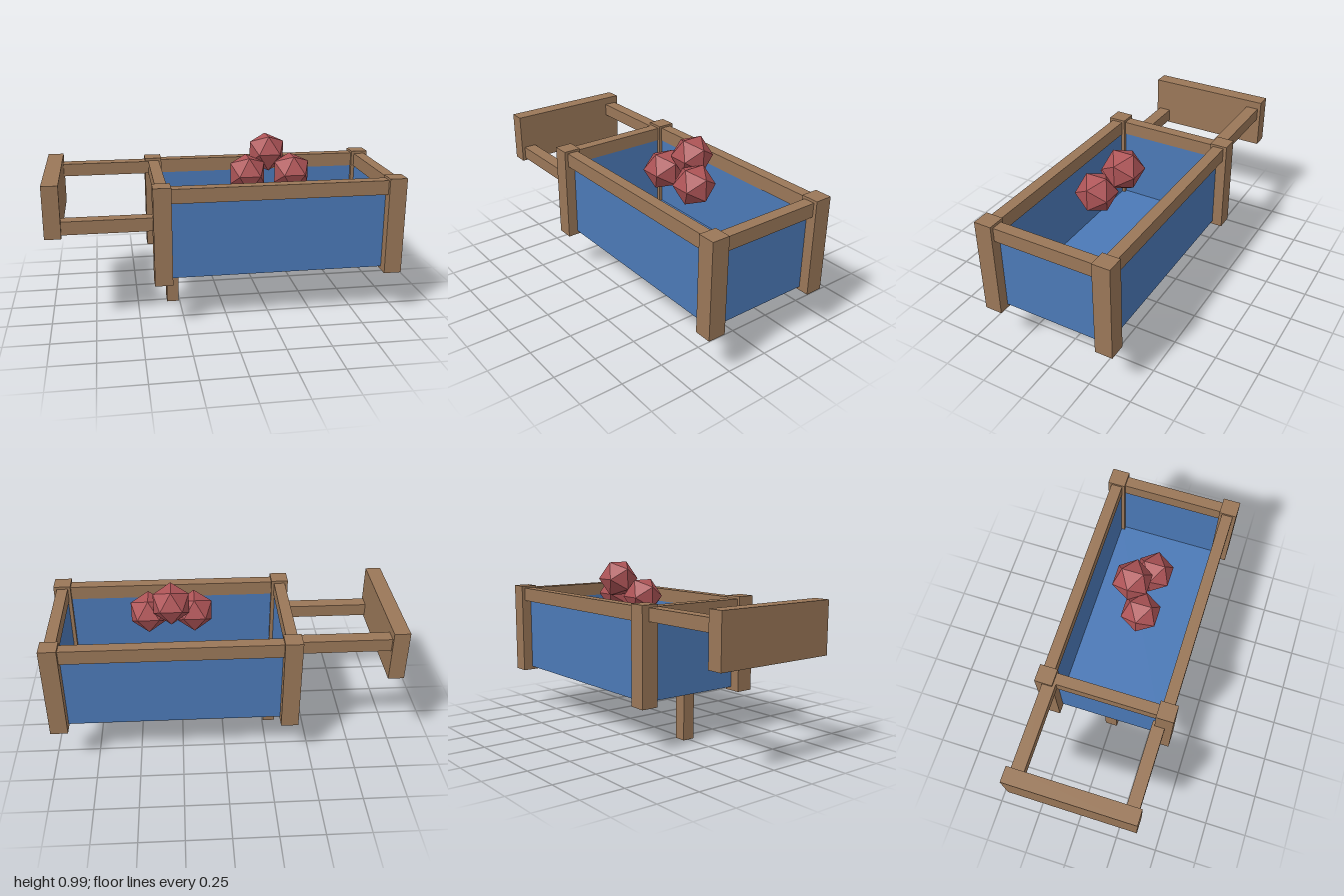
import * as THREE from 'three';

export function createModel() {
  const group = new THREE.Group();
  const mat = (name, color, extra = {}) => {
    const m = new THREE.MeshStandardMaterial({ color, ...extra });
    m.name = name;
    return m;
  };
  const wood = mat('wood brown', 0x9a7758);
  const blue = mat('panel blue', 0x4b79b7);
  const red = mat('load red', 0xae5457, { flatShading: true });

  // Box given by its min and max on each axis
  const box = (name, material, [x0, x1], [y0, y1], [z0, z1]) => {
    const mesh = new THREE.Mesh(new THREE.BoxGeometry(x1 - x0, y1 - y0, z1 - z0), material);
    mesh.position.set((x0 + x1) / 2, (y0 + y1) / 2, (z0 + z1) / 2);
    mesh.name = name;
    group.add(mesh);
  };
  const mirrored = (side, a, b) => (side > 0 ? [a, b] : [-b, -a]);

  // Corner posts, long rails and long panels on both sides
  for (const side of [1, -1]) {
    for (const x of [-0.418, 0.9]) {
      box('cornerPost', wood, [x, x + 0.1], [0.255, 0.815], mirrored(side, 0.296, 0.398));
    }
    box('sideRail', wood, [-0.37, 0.95], [0.72, 0.802], mirrored(side, 0.312, 0.378));
    box('sidePanel', blue, [-0.34, 0.92], [0.275, 0.75], mirrored(side, 0.317, 0.337));
  }

  // Short rails and panels at the two ends
  for (const side of [1, -1]) {
    const span = (a, b) => mirrored(side, a, b).map((x) => x + 0.291);
    box('endRail', wood, span(0.625, 0.69), [0.72, 0.8], [-0.31, 0.31]);
    box('endPanel', blue, span(0.63, 0.65), [0.276, 0.75], [-0.32, 0.32]);
  }

  // Tray floor and the single leg
  box('floor', blue, [-0.35, 0.93], [0.275, 0.295], [-0.33, 0.33]);
  box('leg', wood, [-0.326, -0.256], [0, 0.285], [-0.037, 0.037]);

  // Handle: one high arm at the back, one low arm at the front, and a wide end board
  box('handleArmHigh', wood, [-0.93, -0.39], [0.726, 0.8], [-0.355, -0.28]);
  box('handleArmLow', wood, [-0.93, -0.39], [0.565, 0.64], [0.28, 0.355]);
  box('handleBoard', wood, [-1, -0.91], [0.55, 0.845], [-0.374, 0.374]);

  // Faceted lumps stacked above the tray
  for (const p of [[0.16, 0.786, 0.034], [0.423, 0.786, 0.034], [0.291, 0.89, -0.056]]) {
    const lump = new THREE.Mesh(new THREE.IcosahedronGeometry(0.118, 0), red);
    lump.position.set(...p);
    lump.rotation.y = Math.PI / 2;
    lump.name = 'lump';
    group.add(lump);
  }
  return group;
}
